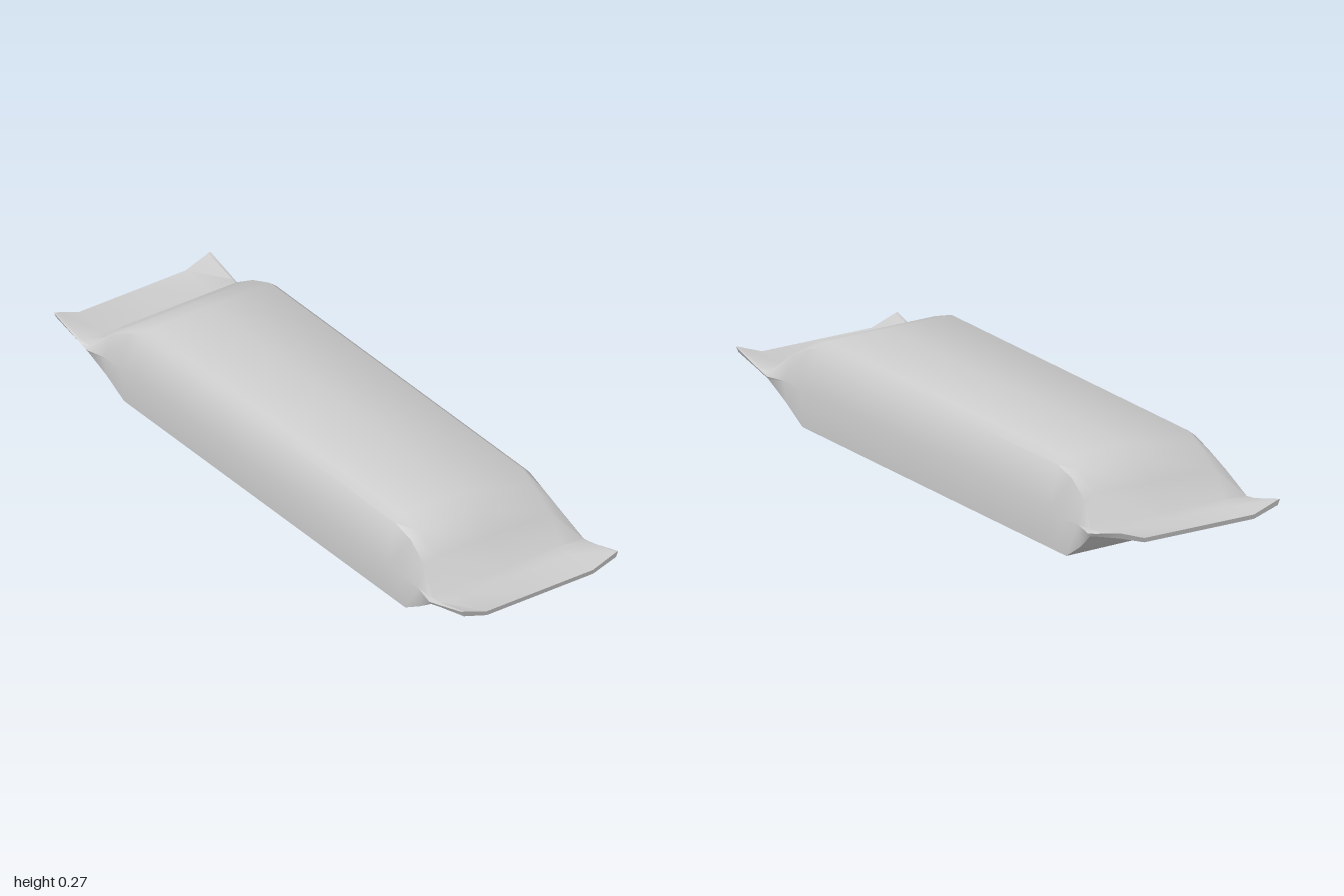
import * as THREE from 'three';
import { toCreasedNormals } from 'three/addons/utils/BufferGeometryUtils.js';

// Stations from the middle to one end:
// x, bottom y, top y, bottom / middle / shoulder / top half widths, corner lift
const HALF = [
  [0.00, 0.006, 0.275, 0.255, 0.266, 0.238, 0.215, 0],
  [0.62, 0.006, 0.275, 0.255, 0.265, 0.238, 0.215, 0],
  [0.69, 0.006, 0.253, 0.255, 0.265, 0.236, 0.205, 0],
  [0.77, 0.055, 0.204, 0.258, 0.267, 0.245, 0.205, 0],
  [0.84, 0.106, 0.130, 0.272, 0.279, 0.270, 0.195, 0],
  [0.88, 0.109, 0.124, 0.272, 0.280, 0.272, 0.190, 0.012],
  [1.00, 0.119, 0.132, 0.272, 0.280, 0.272, 0.190, 0.038],
];
const N = 12;

// Closed cross-section: bottom centre, up the +z side, top centre, down the -z side
function ring([x, yb, yt, hb, hm, hs, ht, lift]) {
  const h = yt - yb;
  const half = [
    [0, yb],
    [ht, yb],
    [hb, yb + lift * 0.7],
    [hm, yb + h * 0.45 + lift],
    [hs, yt - h * 0.07 + lift * 0.8],
    [ht, yt],
    [0, yt],
  ];
  const back = half.slice(1, 6).reverse().map(([z, y]) => [-z, y]);
  // the underside sits slightly lower at the back
  return [...half, ...back].map(([z, y]) => {
    const underside = Math.max(0, 1 - y / 0.1);
    return [x, y + 0.02 * z * underside, z];
  });
}

function wrapperGeometry() {
  const mirrored = HALF.slice(1).reverse().map(([x, ...rest]) => [-x, ...rest]);
  const rings = [...mirrored, ...HALF].map(ring);
  const index = [];
  const quad = (a, b, c, d) => index.push(a, b, c, a, c, d);

  // Skin between neighbouring cross-sections
  for (let i = 0; i < rings.length - 1; i++) {
    for (let j = 0; j < N; j++) {
      const k = (j + 1) % N;
      quad(i * N + j, (i + 1) * N + j, (i + 1) * N + k, i * N + k);
    }
  }

  // Thin closing strips on the outer edge of both flaps
  for (const [start, right] of [[0, false], [(rings.length - 1) * N, true]]) {
    for (let j = 0; j < 3; j++) {
      for (const front of [true, false]) {
        const low = (n) => start + (front ? n : (N - n) % N);
        const high = (n) => start + (front ? 6 - n : 6 + n);
        const corners = [low(j), high(j), high(j + 1), low(j + 1)];
        if (front !== right) corners.reverse();
        quad(...corners);
      }
    }
  }

  const geometry = new THREE.BufferGeometry();
  geometry.setAttribute('position', new THREE.Float32BufferAttribute(rings.flat(2), 3));
  geometry.setIndex(index);
  return toCreasedNormals(geometry.toNonIndexed(), 0.75);
}

export function createModel() {
  const group = new THREE.Group();
  group.name = 'wrappedBar';
  const foil = new THREE.MeshStandardMaterial({ color: 0xcccccc, side: THREE.DoubleSide });

  // Foil sleeve with pinched, flared end flaps
  const wrapper = new THREE.Mesh(wrapperGeometry(), foil);
  wrapper.name = 'wrapper';
  group.add(wrapper);

  return group;
}
